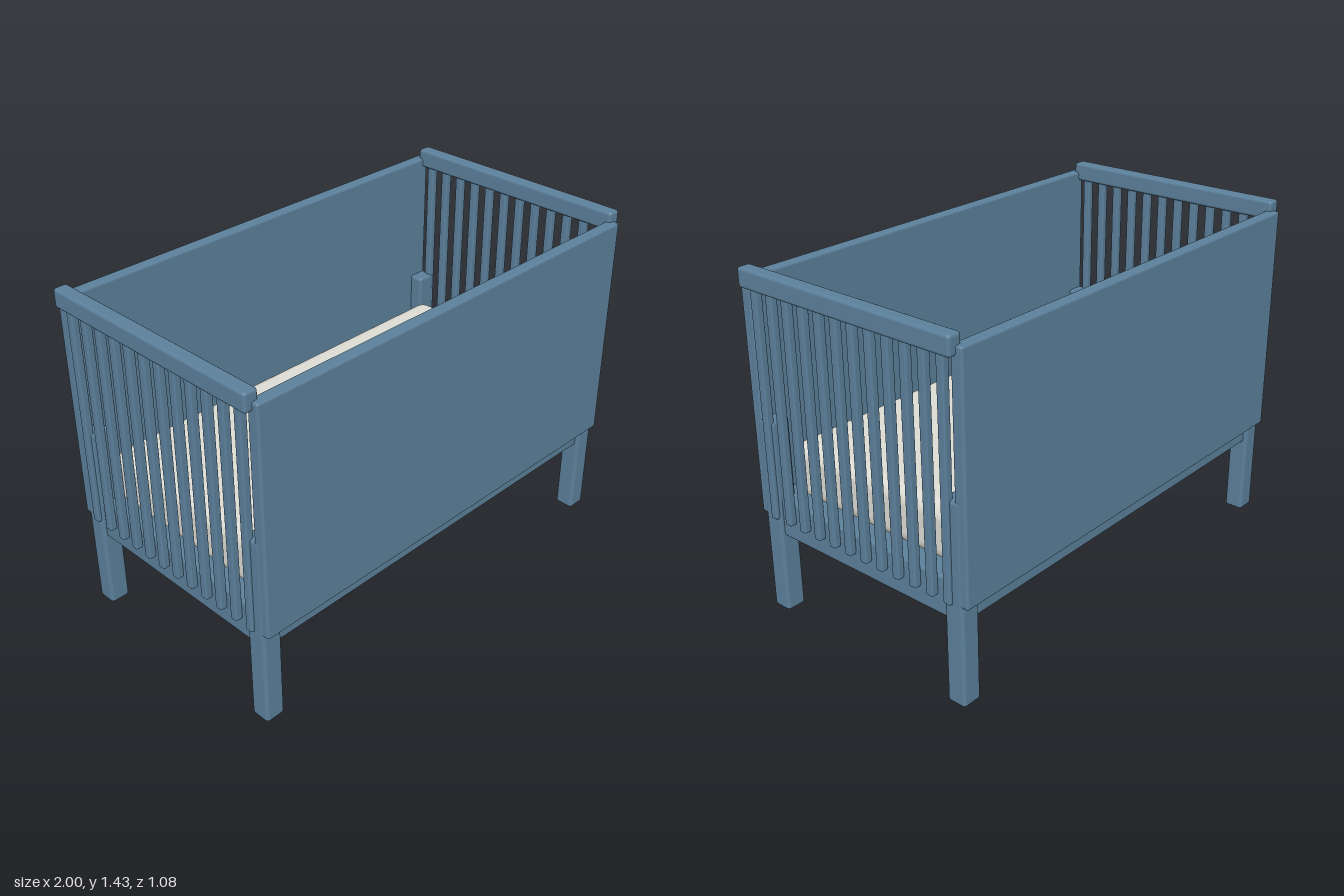
import * as THREE from 'three';
import { RoundedBoxGeometry } from 'three/addons/geometries/RoundedBoxGeometry.js';

export function createModel() {
  const crib = new THREE.Group();
  crib.name = 'crib';
  const paint = new THREE.MeshStandardMaterial({ color: 0x5b7f9a });
  const fabric = new THREE.MeshStandardMaterial({ color: 0xdddcd4 });

  // Rounded box given by its extents on each axis
  function block(name, [x0, x1], [y0, y1], [z0, z1], radius, material = paint, segments = 3) {
    const geometry = new RoundedBoxGeometry(x1 - x0, y1 - y0, z1 - z0, segments, radius);
    const mesh = new THREE.Mesh(geometry, material);
    mesh.name = name;
    mesh.position.set((x0 + x1) / 2, (y0 + y1) / 2, (z0 + z1) / 2);
    crib.add(mesh);
    return mesh;
  }

  // Extents mirrored to the chosen side
  const side = (s, a, b) => (s > 0 ? [a, b] : [-b, -a]);

  // Bed base and mattress
  block('base', [-0.955, 0.955], [0.34, 0.5], [-0.5, 0.5], 0.012);
  block('mattress', [-0.9, 0.9], [0.5, 0.73], [-0.432, 0.432], 0.06, fabric, 6);

  // Solid long panels
  for (const s of [1, -1]) {
    block(s > 0 ? 'frontPanel' : 'backPanel', [-0.97, 0.97], [0.42, 1.39], side(s, 0.49, 0.541), 0.01);
  }

  const slatCount = 12;
  const slatReach = 0.455;
  for (const sx of [1, -1]) {
    const label = sx > 0 ? 'left' : 'right';

    // Top rail over the slatted end
    block(label + 'TopRail', side(sx, 0.94, 1), [1.352, 1.431], [-0.515, 0.515], 0.013);

    // Vertical slats
    for (let i = 0; i < slatCount; i++) {
      const z = -slatReach + (2 * slatReach * i) / (slatCount - 1);
      block(label + 'Slat' + (i + 1), side(sx, 0.953, 0.985), [0.42, 1.37], [z - 0.017, z + 0.017], 0.008, paint, 2);
    }

    // Corner legs
    for (const sz of [1, -1]) {
      block(label + (sz > 0 ? 'Front' : 'Back') + 'Leg', side(sx, 0.886, 0.972), [0, 0.83], side(sz, 0.433, 0.517), 0.014);
    }
  }
  return crib;
}
